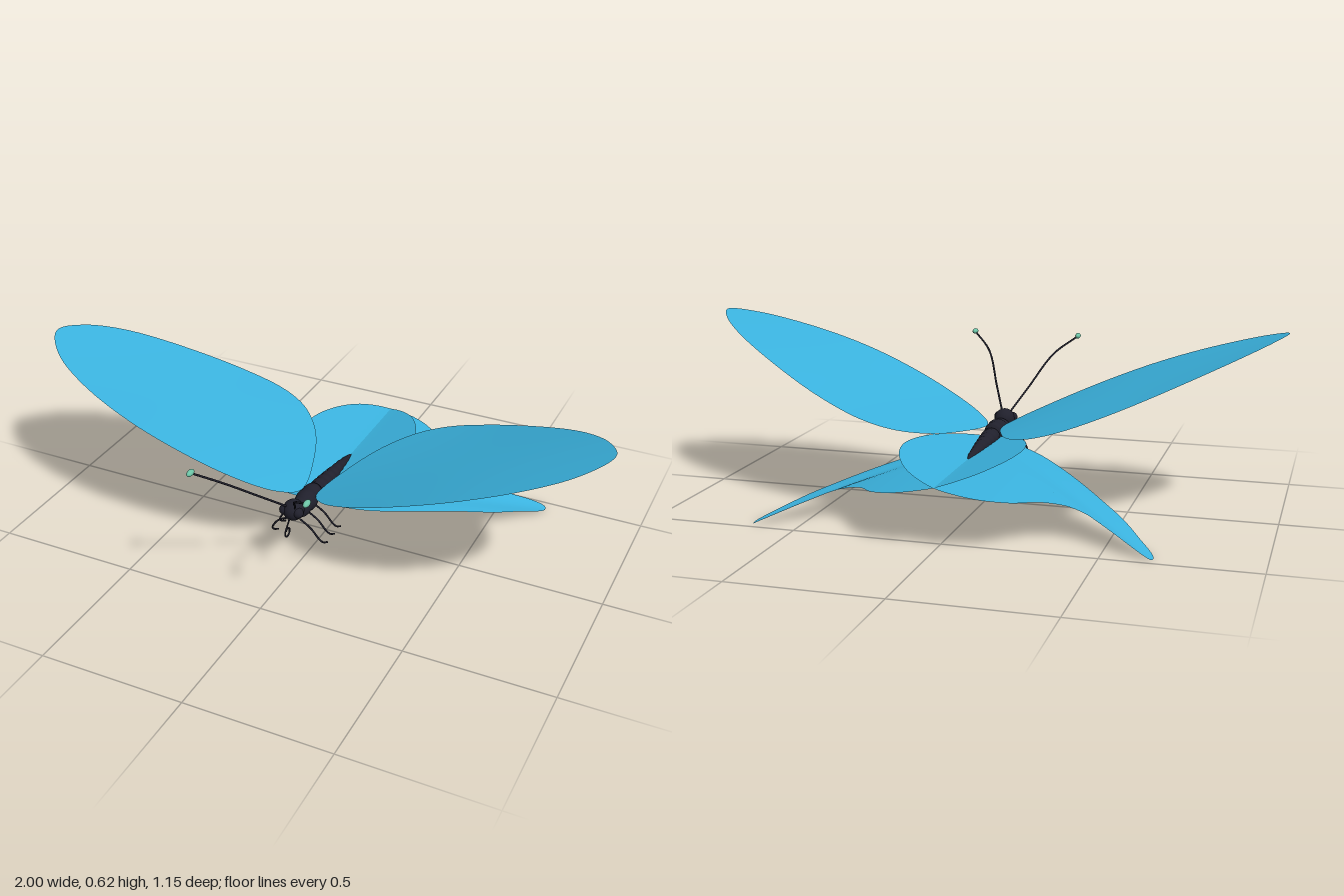
import * as THREE from 'three';

const wingBlue = new THREE.MeshStandardMaterial({ color: 0x3ab2de, side: THREE.DoubleSide });
wingBlue.name = 'wing blue';
const bodyBlack = new THREE.MeshStandardMaterial({ color: 0x20202c });
bodyBlack.name = 'body black';
const tipGreen = new THREE.MeshStandardMaterial({ color: 0x6cc4a6 });
tipGreen.name = 'antenna tip green';

const V = (x, y, z) => new THREE.Vector3(x, y, z);

function add(group, name, geometry, material) {
  const mesh = new THREE.Mesh(geometry, material);
  mesh.name = name;
  group.add(mesh);
  return mesh;
}

// Thin wing: concentric rings inside an x-z outline, lifted by a height rule
function wingGeometry(outline, centre, height, side) {
  const curve = new THREE.CatmullRomCurve3(outline.map(([x, z]) => V(x, 0, z)), true, 'centripetal');
  const n = 120, rings = 14, edge = curve.getPoints(n);
  const pos = [side * centre[0], height(...centre), centre[1]], index = [];
  for (let r = 1; r <= rings; r++) {
    for (let j = 0; j < n; j++) {
      const t = r / rings;
      const x = centre[0] + (edge[j].x - centre[0]) * t;
      const z = centre[1] + (edge[j].z - centre[1]) * t;
      pos.push(side * x, height(x, z), z);
      const a = 1 + (r - 1) * n + j, b = 1 + (r - 1) * n + (j + 1) % n;
      if (r === 1) index.push(0, a, b);
      else index.push(a - n, a, b, a - n, b, b - n);
    }
  }
  // keep the upper side facing up on both wings
  if (side < 0) for (let i = 0; i < index.length; i += 3) [index[i], index[i + 1]] = [index[i + 1], index[i]];
  const g = new THREE.BufferGeometry();
  g.setAttribute('position', new THREE.Float32BufferAttribute(pos, 3));
  g.setIndex(index);
  g.computeVertexNormals();
  return g;
}

const foreOutline = [
  [0.03, 0.14], [0.08, 0.21], [0.19, 0.27], [0.36, 0.315], [0.56, 0.327], [0.76, 0.29], [0.92, 0.21],
  [1.0, 0.1], [0.96, 0], [0.85, -0.11], [0.65, -0.225], [0.47, -0.295], [0.33, -0.318],
  [0.23, -0.29], [0.14, -0.2], [0.07, -0.05],
];
// Raised wing, leading edge twisted slightly upwards
const foreHeight = (x, z) => 0.23 + 0.392 * (x - 0.03) + 0.065 * z * Math.sin(Math.PI * Math.min(1, Math.max(0, x)));

const hindOutline = [
  [0.0, 0.11], [0.08, 0.1], [0.17, 0.06], [0.25, 0], [0.36, -0.1], [0.45, -0.19], [0.53, -0.27],
  [0.6, -0.36], [0.66, -0.445], [0.655, -0.472], [0.61, -0.462], [0.49, -0.388], [0.43, -0.364],
  [0.37, -0.367], [0.3, -0.415], [0.22, -0.515], [0.12, -0.572], [0, -0.57], [-0.1, -0.51],
  [-0.17, -0.4], [-0.2, -0.27], [-0.175, -0.12], [-0.1, 0.02],
];
// Drooping wing with a shallow fold running out to the tail
function hindHeight(x, z) {
  const along = Math.max(0, x * 0.77 - (z - 0.08) * 0.64);
  const across = x * 0.64 + (z - 0.08) * 0.77;
  const dome = 0.02 * Math.sin(Math.PI * Math.min(1, Math.max(0, x / 0.66)));
  return 0.192 - 0.28 * x + dome - 0.018 * along * Math.exp(-((across / 0.05) ** 2));
}

function tube(points, radius, segments = 32) {
  return new THREE.TubeGeometry(new THREE.CatmullRomCurve3(points), segments, radius, 8);
}

// Ringed body part: lathe running backwards along z
function ringedBody(length, rings, radiusAt) {
  const pts = [], steps = rings * 6;
  for (let i = 0; i <= steps; i++) {
    const t = i / steps;
    const groove = 0.9 + 0.1 * Math.abs(Math.sin(Math.PI * t * rings));
    pts.push(new THREE.Vector2(i === 0 || i === steps ? 0 : radiusAt(t) * groove, t * length));
  }
  return new THREE.LatheGeometry(pts, 24).rotateX(-Math.PI / 2);
}

export function createModel() {
  const model = new THREE.Group();
  model.name = 'butterfly';

  // Body
  const thorax = add(model, 'thorax', ringedBody(0.15, 3, (t) => 0.038 * Math.pow(Math.sin(Math.PI * (0.08 + 0.84 * t)), 0.3)), bodyBlack);
  thorax.position.set(0, 0.205, 0.23);
  thorax.rotation.x = 0.06;
  const abdomen = add(model, 'abdomen', ringedBody(0.31, 9, (t) => 0.036 * Math.sqrt(Math.min(1, t * 12)) * Math.pow(1 - t, 0.55)), bodyBlack);
  abdomen.position.set(0, 0.203, 0.1);
  abdomen.rotation.x = -0.045;

  const head = add(model, 'head', new THREE.SphereGeometry(0.036, 24, 16), bodyBlack);
  head.position.set(0, 0.229, 0.252);
  head.scale.z = 1.05;

  // Coiled proboscis under the head
  const coil = [V(0, 0.212, 0.28)];
  for (let i = 0; i <= 16; i++) {
    const a = 0.9 - (i / 16) * 6.6, r = 0.018 - 0.005 * (i / 16);
    coil.push(V(0, 0.168 + r * Math.sin(a), 0.298 + r * Math.cos(a)));
  }
  add(model, 'proboscis', tube(coil, 0.003, 64), bodyBlack);

  for (const [side, label] of [[1, 'left'], [-1, 'right']]) {
    const half = new THREE.Group();
    half.name = label + 'Side';
    model.add(half);

    add(half, label + 'Forewing', wingGeometry(foreOutline, [0.45, 0.02], foreHeight, side), wingBlue);
    add(half, label + 'Hindwing', wingGeometry(hindOutline, [0.15, -0.2], hindHeight, side), wingBlue);

    const eye = add(half, label + 'Eye', new THREE.SphereGeometry(0.018, 16, 12), bodyBlack);
    eye.position.set(side * 0.025, 0.232, 0.268);

    // Antenna and its club
    add(half, label + 'Antenna', tube([
      V(side * 0.015, 0.25, 0.272), V(side * 0.06, 0.325, 0.36),
      V(side * 0.125, 0.432, 0.485), V(side * 0.2, 0.49, 0.555),
    ], 0.0035), bodyBlack);
    const tip = add(half, label + 'AntennaTip', new THREE.SphereGeometry(0.01, 16, 12), tipGreen);
    tip.position.set(side * 0.2, 0.491, 0.556);
    tip.scale.z = 1.9;

    // Three legs
    [0.245, 0.19, 0.14].forEach((z, i) => {
      add(half, label + 'Leg' + (i + 1), tube([
        V(side * 0.015, 0.185, z - 0.01), V(side * 0.06, 0.166, z),
        V(side * 0.086, 0.13, z - 0.005), V(side * 0.092, 0.105, z - 0.025), V(side * 0.093, 0.085, z - 0.057),
      ], 0.0032), bodyBlack);
    });
  }
  return model;
}
